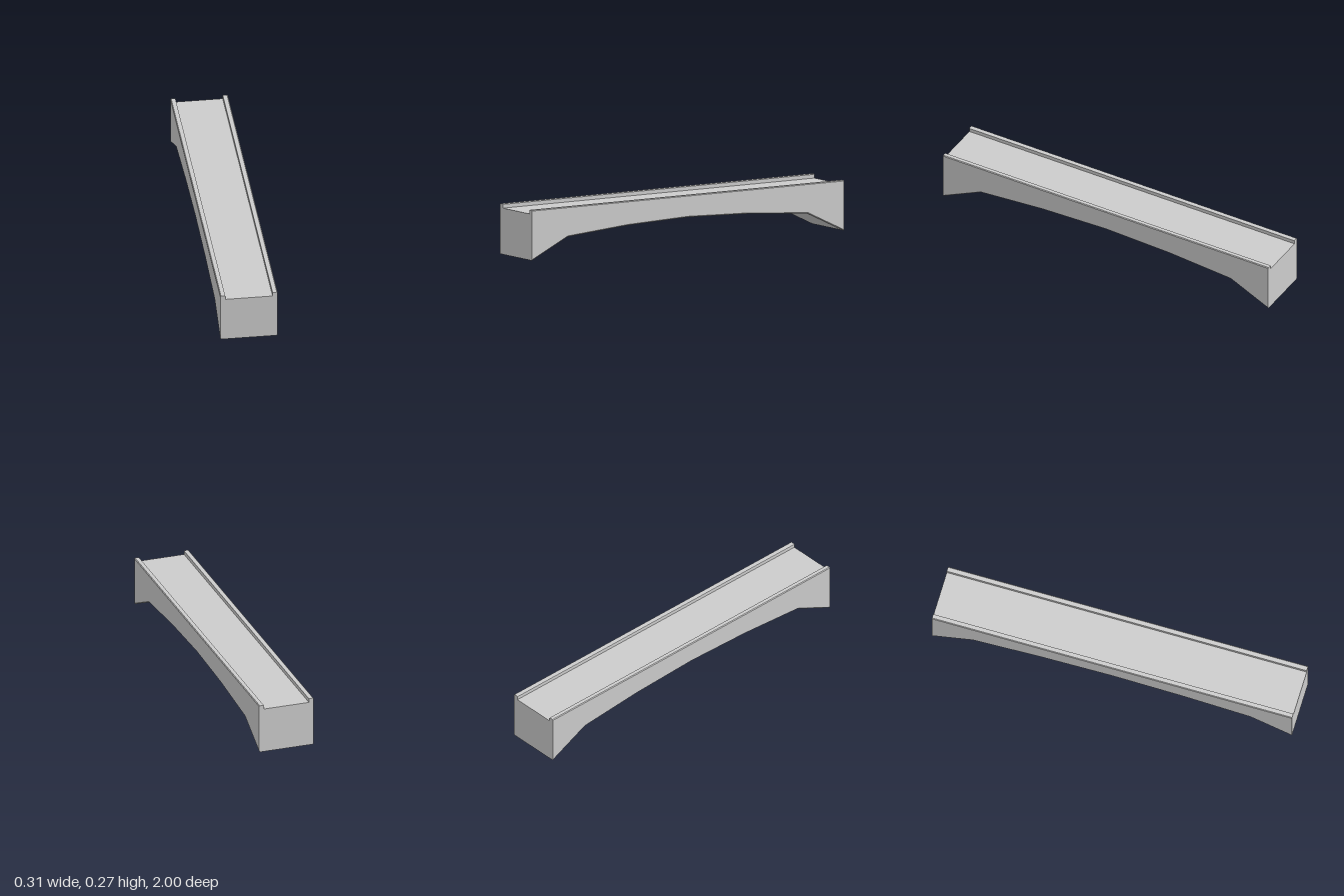
import * as THREE from 'three';
import { toCreasedNormals } from 'three/addons/utils/BufferGeometryUtils.js';

// Half of the underside: [z, height], mirrored about the middle
const HALF_ARCH = [[1, 0], [0.77, 0.11], [0.39, 0.14]];
const STATIONS = [...HALF_ARCH, [0, 0.153], ...HALF_ARCH.map(([z, y]) => [-z, y]).reverse()];

// Cross-section with chamfered bottom corners and a kerb on each side, counter-clockwise
function section(base) {
  const right = [
    [0.149, base], [0.154, base + 0.005],
    [0.154, 0.267], [0.15, 0.271],
    [0.13, 0.271], [0.127, 0.269], [0.127, 0.249],
  ];
  return [...right, ...right.map(([x, y]) => [-x, y]).reverse()];
}

// Skin the cross-sections from front to back and close both ends
function loft(stations) {
  const positions = [];
  const index = [];
  const n = section(0).length;
  for (const [z, base] of stations) {
    for (const [x, y] of section(base)) positions.push(x, y, z);
  }
  for (let s = 0; s < stations.length - 1; s++) {
    for (let i = 0; i < n; i++) {
      const a = s * n + i;
      const b = s * n + (i + 1) % n;
      index.push(a, a + n, b, b, a + n, b + n);
    }
  }
  const outline = section(0).map(([x, y]) => new THREE.Vector2(x, y));
  const last = (stations.length - 1) * n;
  for (const [a, b, c] of THREE.ShapeUtils.triangulateShape(outline, [])) {
    index.push(a, b, c, last + a, last + c, last + b);
  }
  const geometry = new THREE.BufferGeometry();
  geometry.setAttribute('position', new THREE.Float32BufferAttribute(positions, 3));
  geometry.setIndex(index);
  return toCreasedNormals(geometry, 0.5);
}

export function createModel() {
  const group = new THREE.Group();
  group.name = 'bridge';
  const span = new THREE.Mesh(loft(STATIONS), new THREE.MeshStandardMaterial({ color: 0xcccccc }));
  span.name = 'archedSpanWithKerbs';
  group.add(span);
  return group;
}
